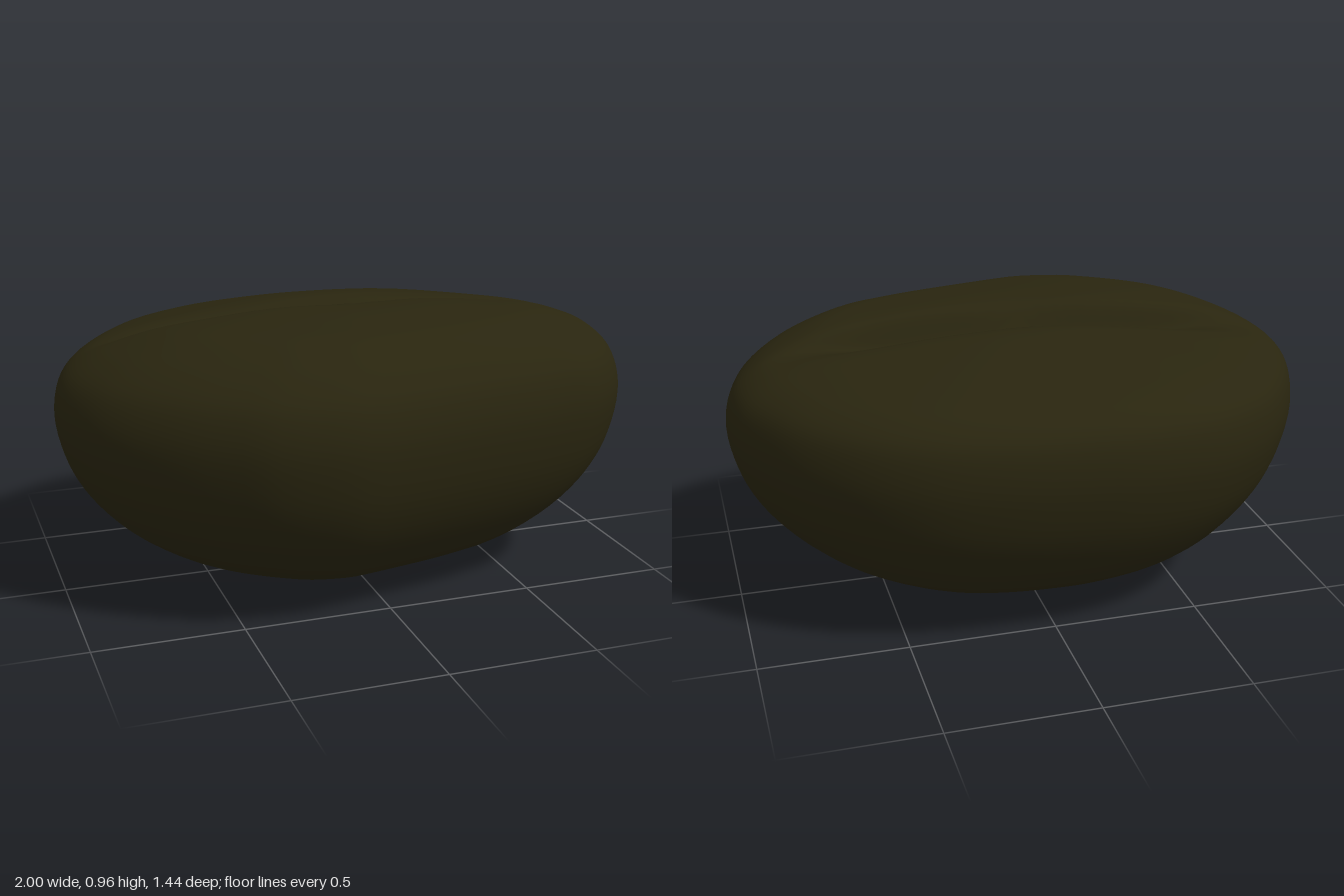
import * as THREE from 'three';
import { mergeVertices } from 'three/addons/utils/BufferGeometryUtils.js';

const SEGMENTS = 128, RINGS = 64;

// Rim seen from above, as x, z pairs: back half first, then the front half
const RIM = [
  1, 0.02, 0.98, -0.11, 0.92, -0.24, 0.83, -0.38, 0.71, -0.5, 0.58, -0.59, 0.43, -0.655,
  0.28, -0.69, 0.12, -0.712, -0.1, -0.722, -0.2, -0.72, -0.32, -0.705, -0.47, -0.67, -0.6, -0.61,
  -0.73, -0.52, -0.82, -0.42, -0.9, -0.3, -0.95, -0.2, -0.985, -0.1, -1, 0.02, -0.985, 0.13,
  -0.93, 0.27, -0.86, 0.37, -0.77, 0.46, -0.67, 0.54, -0.56, 0.61, -0.45, 0.67, -0.31, 0.705,
  -0.18, 0.718, -0.05, 0.7, 0.13, 0.665, 0.3, 0.63, 0.45, 0.595, 0.6, 0.55, 0.71, 0.51,
  0.8, 0.45, 0.88, 0.37, 0.95, 0.25, 0.99, 0.12,
];

// Profile from bottom to top: rim scale, height on the front half, height on the back half
const PROFILE = [
  [0, 0.002, 0.002], [0.2, 0.01, 0.01], [0.33, 0.03, 0.03], [0.45, 0.055, 0.055],
  [0.6, 0.105, 0.11], [0.76, 0.2, 0.2], [0.87, 0.3, 0.31], [0.94, 0.4, 0.41],
  [0.98, 0.5, 0.51], [1, 0.62, 0.62], [0.985, 0.71, 0.72], [0.95, 0.775, 0.775],
  [0.88, 0.835, 0.82], [0.8, 0.88, 0.845], [0.68, 0.925, 0.87], [0.5, 0.945, 0.902],
  [0.3, 0.957, 0.93], [0.15, 0.955, 0.943], [0, 0.95, 0.95],
];

// Groove along the flat side: steep towards the front lobe, gentle towards the back
function grooveDepth(x, z) {
  const d = z - (0.02 + 0.05 * x - 0.05 * x * x);
  const width = d > 0 ? 0.04 : 0.085;
  const fade = 1 - THREE.MathUtils.smoothstep(Math.abs(x), 0.4, 0.92);
  return 0.085 * fade * Math.exp(-((d / width) ** 2));
}

function beanGeometry() {
  const rimPoints = [];
  for (let i = 0; i < RIM.length; i += 2) rimPoints.push(new THREE.Vector3(RIM[i], 0, RIM[i + 1]));
  const rim = new THREE.CatmullRomCurve3(rimPoints, true);
  const profile = new THREE.CatmullRomCurve3(PROFILE.map((p) => new THREE.Vector3(...p)));

  const positions = [], indices = [];
  for (let k = 0; k <= RINGS; k++) {
    const { x: scale, y: frontY, z: backY } = profile.getPoint(k / RINGS);
    for (let j = 0; j < SEGMENTS; j++) {
      // Columns crowd together near the ends of the groove
      const a = (j / SEGMENTS) * Math.PI * 2;
      const edge = rim.getPoint((a - 0.35 * Math.sin(2 * a)) / (Math.PI * 2));
      const front = THREE.MathUtils.smoothstep(edge.z, -0.5, 0.5);
      const x = edge.x * scale, z = edge.z * scale;
      let y = THREE.MathUtils.lerp(backY, frontY, front);
      y -= grooveDepth(x, z) * THREE.MathUtils.smoothstep(y, 0.6, 0.85);
      positions.push(x, y, z);
      if (k < RINGS) {
        const next = (j + 1) % SEGMENTS, row = k * SEGMENTS, up = row + SEGMENTS;
        indices.push(row + j, row + next, up + j, row + next, up + next, up + j);
      }
    }
  }
  const geometry = new THREE.BufferGeometry();
  geometry.setAttribute('position', new THREE.Float32BufferAttribute(positions, 3));
  geometry.setIndex(indices);
  const welded = mergeVertices(geometry, 1e-5); // closes the two poles
  welded.computeVertexNormals();
  return welded;
}

export function createModel() {
  const group = new THREE.Group();
  group.name = 'roastedBean';
  const darkRoast = new THREE.MeshStandardMaterial({ color: 0x29250f });
  darkRoast.name = 'darkRoast';
  const bean = new THREE.Mesh(beanGeometry(), darkRoast);
  bean.name = 'bean';
  group.add(bean);
  return group;
}
